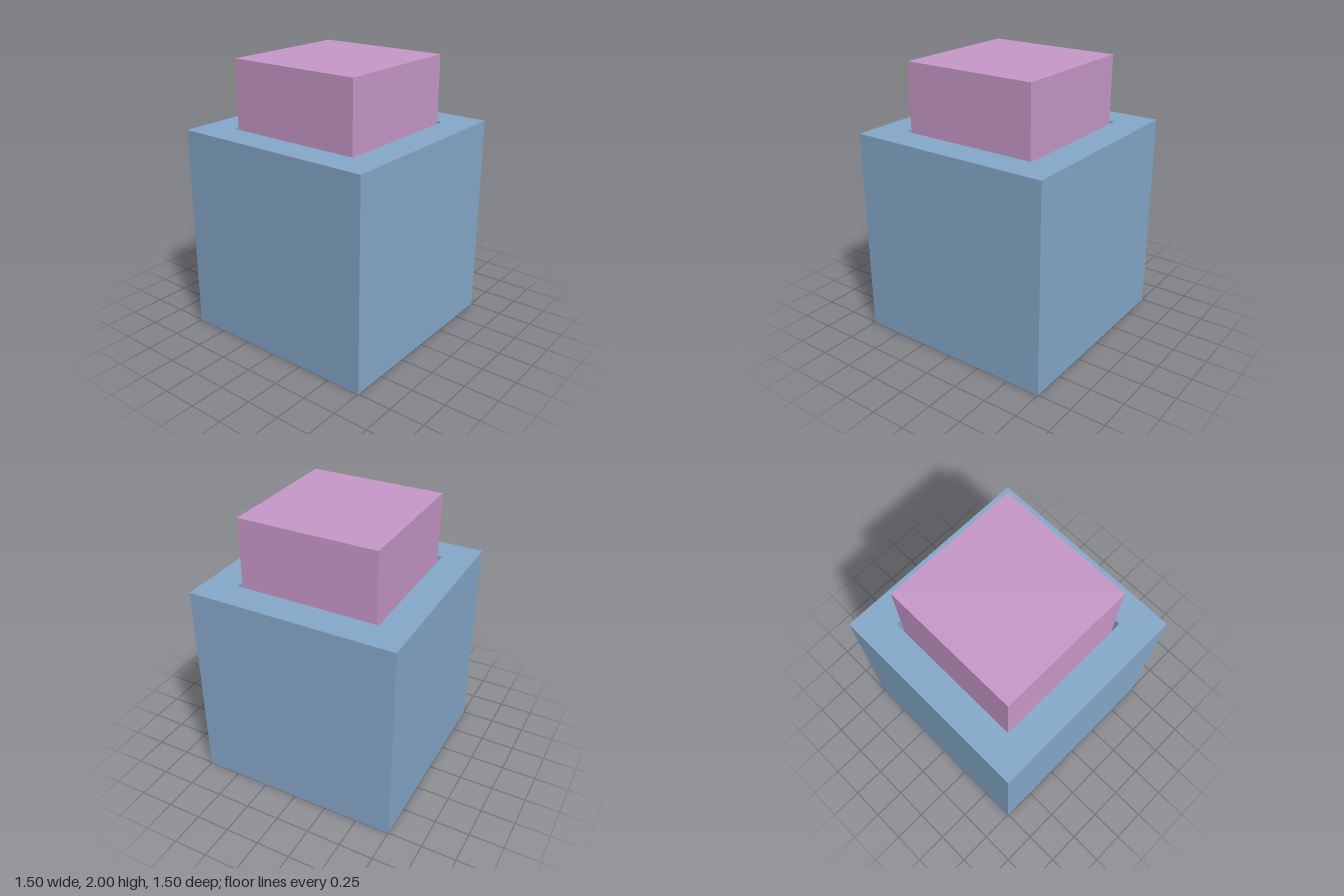
import * as THREE from 'three';

const HOUSING_HALF = 0.752, HOLE_HALF = 0.527, HOUSING_HEIGHT = 1.51;
const PLUNGER_HALF = 0.502, PLUNGER_BOTTOM = 0.5, TOP = 2;

// Adds the corners of a centred square to a shape or path
function square(path, h) {
  path.moveTo(-h, -h);
  path.lineTo(h, -h);
  path.lineTo(h, h);
  path.lineTo(-h, h);
  path.closePath();
  return path;
}

export function createModel() {
  const model = new THREE.Group();
  model.name = 'plungerInHousing';

  // Square housing with a shaft running right through it
  const section = square(new THREE.Shape(), HOUSING_HALF);
  section.holes.push(square(new THREE.Path(), HOLE_HALF));
  const housingGeometry = new THREE.ExtrudeGeometry(section, { depth: HOUSING_HEIGHT, bevelEnabled: false });
  housingGeometry.rotateX(-Math.PI / 2);
  const housing = new THREE.Mesh(housingGeometry, new THREE.MeshStandardMaterial({ color: 0x86aacb }));
  housing.name = 'housing';
  model.add(housing);

  // Plunger block, loose in the shaft and standing out of the top
  const height = TOP - PLUNGER_BOTTOM;
  const plunger = new THREE.Mesh(
    new THREE.BoxGeometry(PLUNGER_HALF * 2, height, PLUNGER_HALF * 2),
    new THREE.MeshStandardMaterial({ color: 0xc999c9 })
  );
  plunger.position.y = PLUNGER_BOTTOM + height / 2;
  plunger.name = 'plunger';
  model.add(plunger);

  return model;
}
